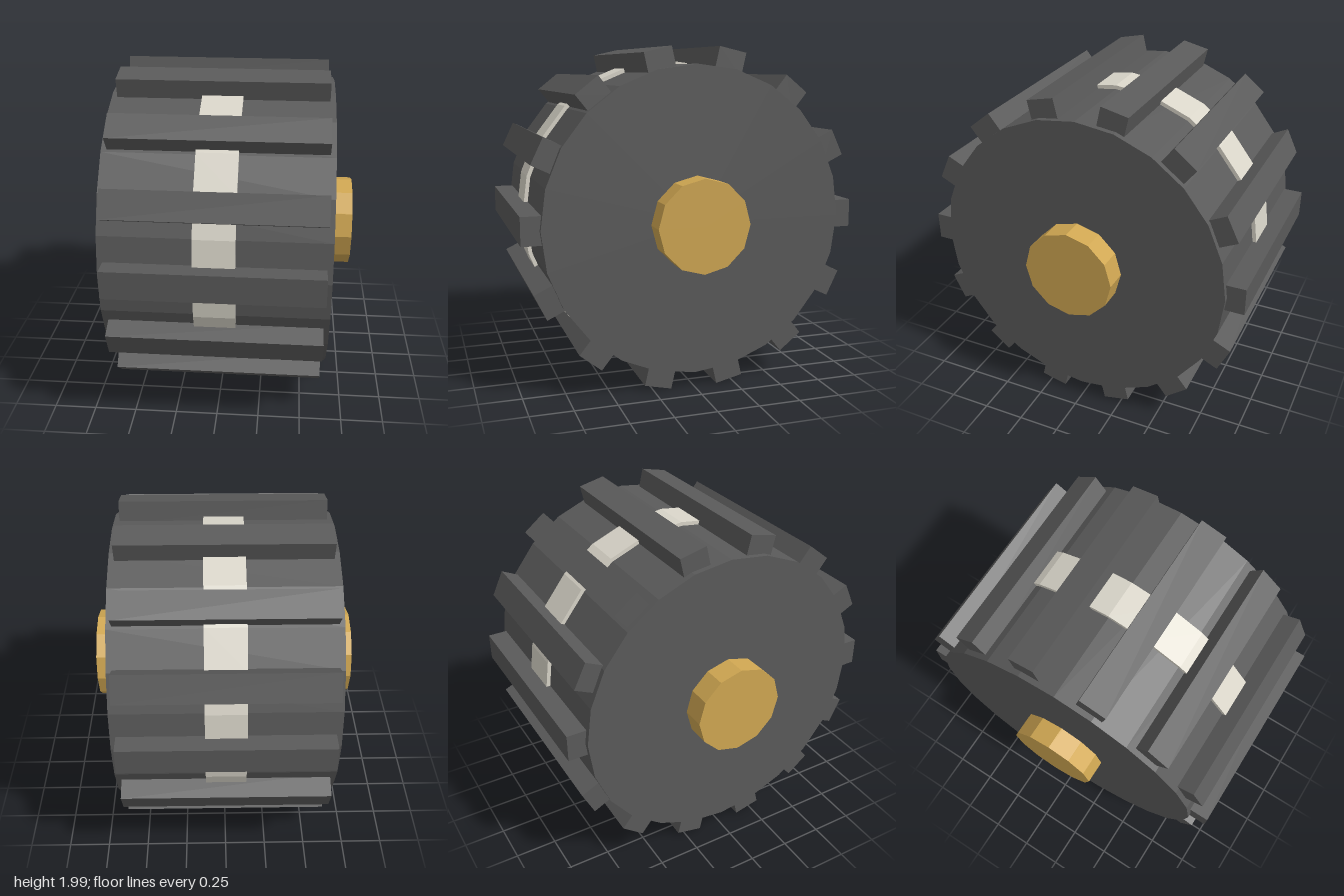
import * as THREE from 'three';

const TREADS = 14;
const CENTRE_Y = 0.993;

function material(name, color) {
  const m = new THREE.MeshStandardMaterial({ color, flatShading: true });
  m.name = name;
  return m;
}

export function createModel() {
  const rubber = material('dark rubber', 0x5a5a5a);
  const brass = material('brass', 0xd0a752);
  const ivory = material('ivory', 0xd9d5c9);

  const wheel = new THREE.Group();
  wheel.name = 'wheel';
  wheel.position.y = CENTRE_Y;

  // Faceted drums lying along the x axis
  const addDrum = (name, radius, width, sides, mat) => {
    const geometry = new THREE.CylinderGeometry(radius, radius, width, sides).rotateZ(Math.PI / 2);
    const mesh = new THREE.Mesh(geometry, mat);
    mesh.name = name;
    wheel.add(mesh);
  };
  addDrum('tyre', 0.895, 1.29, 24, rubber);
  addDrum('centreBand', 0.918, 0.236, 24, ivory);
  addDrum('axle', 0.272, 1.566, 12, brass);

  // Tread bars around the rim, the first one facing straight forward
  const bar = new THREE.BoxGeometry(1.226, 0.165, 0.14).translate(0, 0, 0.93);
  for (let i = 0; i < TREADS; i++) {
    const tread = new THREE.Mesh(bar, rubber);
    tread.name = `tread${i + 1}`;
    tread.rotation.x = (i / TREADS) * Math.PI * 2;
    wheel.add(tread);
  }

  const model = new THREE.Group();
  model.name = 'treadedWheel';
  model.add(wheel);
  return model;
}
